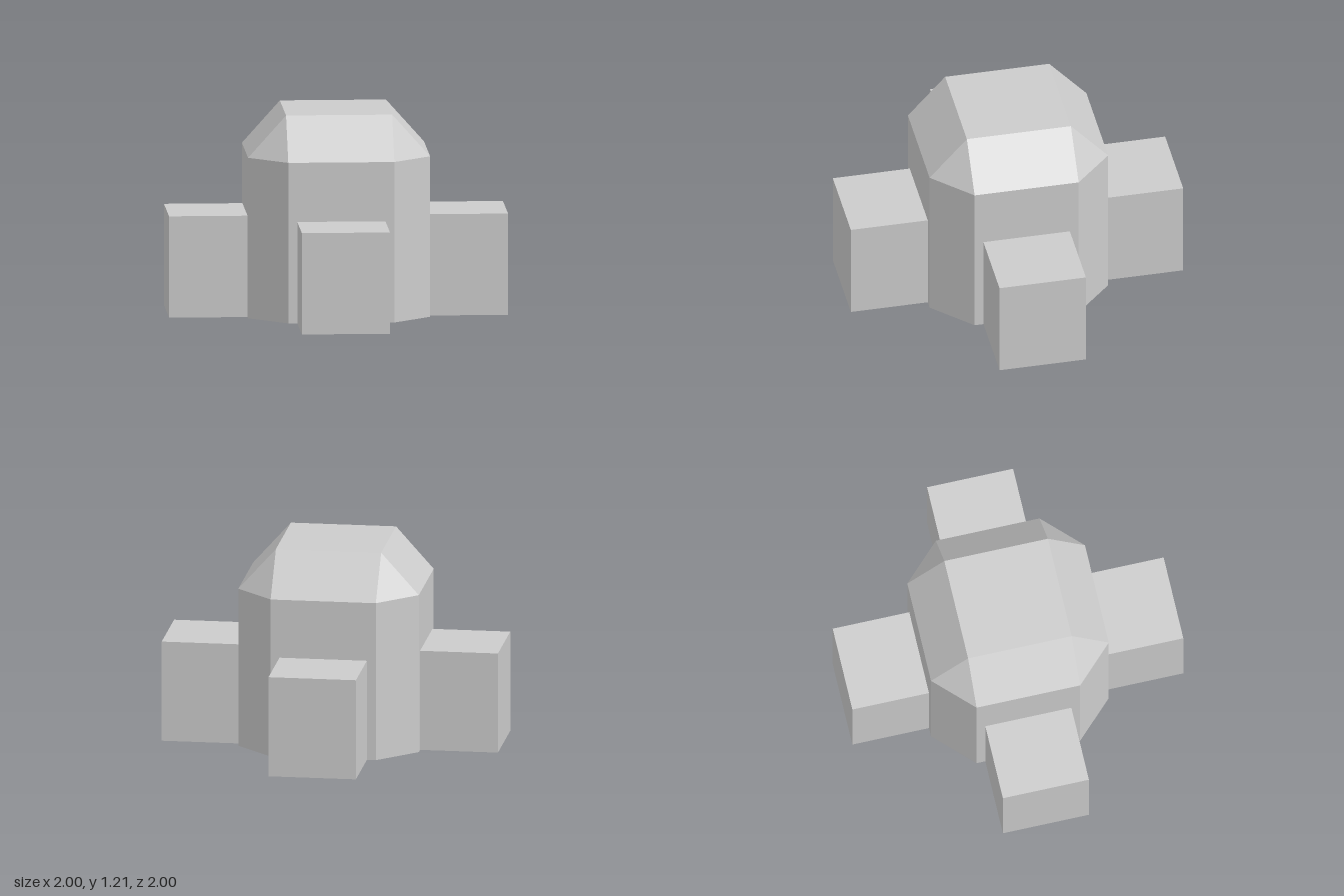
import * as THREE from 'three';

const material = new THREE.MeshStandardMaterial({
  color: 0xcccccc, flatShading: true, side: THREE.DoubleSide,
});

// Lofts rings of [x, y, z] points (counter-clockwise from above) and caps the last one.
// The bottom stays open; an open loft also leaves out the wall from last point to first.
function shell(name, rings, closed = true) {
  const positions = [];
  const tri = (a, b, c) => {
    const [A, B, C] = [a, b, c].map((p) => new THREE.Vector3(...p));
    if (new THREE.Triangle(A, B, C).getArea() > 1e-8) positions.push(...a, ...b, ...c);
  };
  const n = rings[0].length;
  for (let r = 0; r < rings.length - 1; r++) {
    for (let i = 0; i < (closed ? n : n - 1); i++) {
      const j = (i + 1) % n;
      const [lo, hi] = [rings[r], rings[r + 1]];
      tri(lo[i], lo[j], hi[j]);
      tri(lo[i], hi[j], hi[i]);
    }
  }
  const top = rings[rings.length - 1];
  for (let i = 1; i < n - 1; i++) tri(top[0], top[i], top[i + 1]);

  const geometry = new THREE.BufferGeometry();
  geometry.setAttribute('position', new THREE.Float32BufferAttribute(positions, 3));
  geometry.computeVertexNormals();
  const mesh = new THREE.Mesh(geometry, material);
  mesh.name = name;
  return mesh;
}

// Square of half size `outer` whose corners are cut back to `inner`
function octagon(outer, inner, y) {
  const ring = [];
  for (let k = 0; k < 4; k++) {
    const c = Math.round(Math.cos(k * Math.PI / 2));
    const s = Math.round(Math.sin(k * Math.PI / 2));
    for (const [u, v] of [[outer, -inner], [outer, inner]]) {
      ring.push([u * c - v * s, y, -(u * s + v * c)]);
    }
  }
  return ring;
}

export function createModel() {
  const model = new THREE.Group();
  model.name = 'domedHut';

  // Eight-sided hall with a sloped roof that narrows to a flat square
  const outer = 0.537, inner = 0.313;
  model.add(shell('hall', [
    octagon(outer, inner, 0),
    octagon(outer, inner, 0.955),
    octagon(inner, inner, 1.205),
  ]));

  // Four box wings standing against the hall walls
  const half = 0.26;
  const wingRing = (y) => [
    [-half, y, outer], [-half, y, 1], [half, y, 1], [half, y, outer],
  ];
  ['frontWing', 'leftWing', 'backWing', 'rightWing'].forEach((name, i) => {
    const wing = shell(name, [wingRing(0), wingRing(0.603)], false);
    wing.rotation.y = i * Math.PI / 2;
    model.add(wing);
  });

  return model;
}
